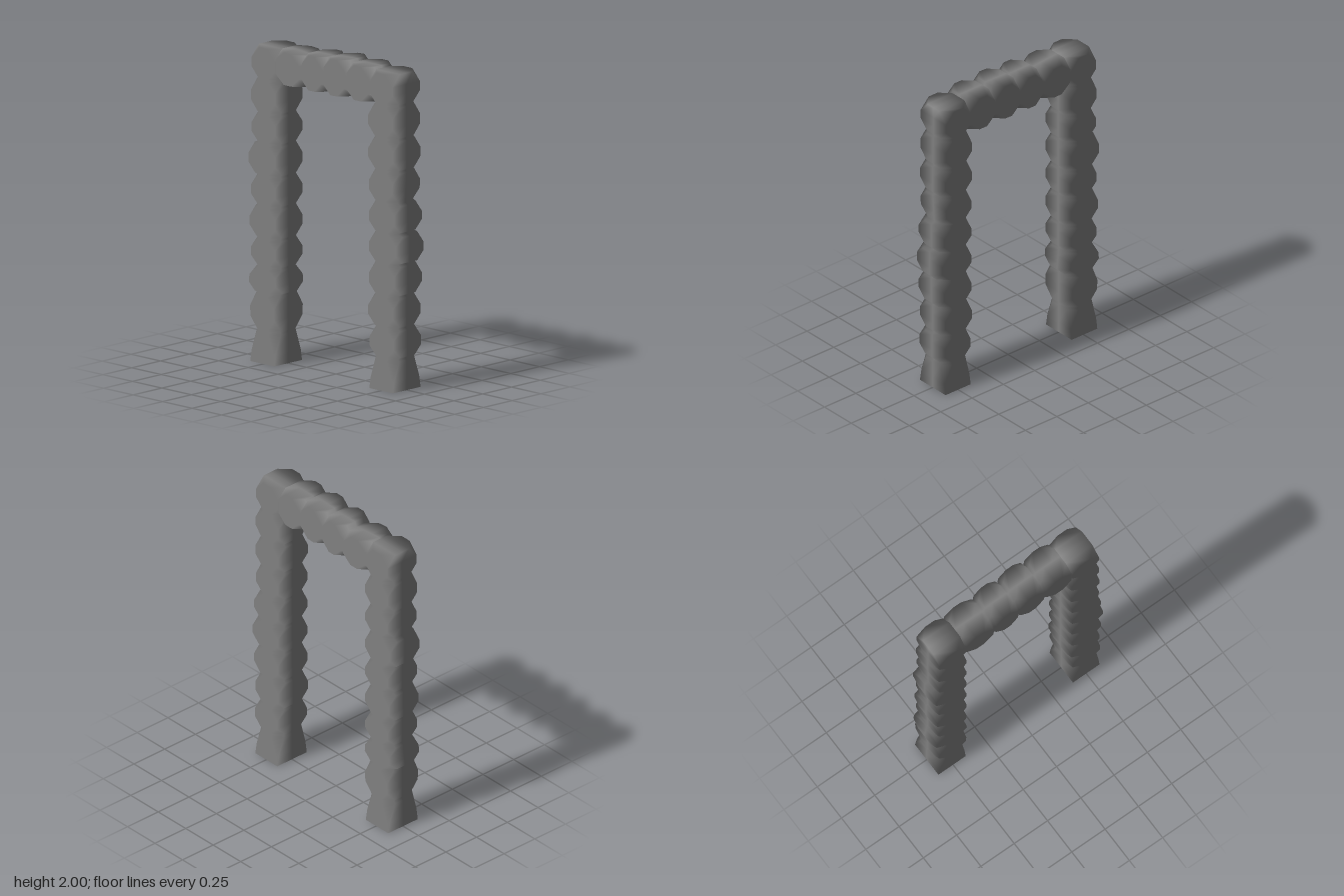
import * as THREE from 'three';

const material = new THREE.MeshStandardMaterial({ color: 0x808080, side: THREE.DoubleSide });
const CUT = 0.055;   // how far block corners are cut off at a joint
const LIP = 0.013;   // height of the small notch at a joint
const DEPTH = 0.12;  // half thickness of the frame
const SIDES = 10;    // points per ring
const CORNERS = [2, 4, 7, 9]; // ring segments that cross a cut corner

// Skin through rings (a rectangle with cut corners and a point midway on each side).
// ring: { t, a0, a1, b, c } = place along axis, extents across, half depth, corner cut
// Normals are flat on front and back and turn smoothly around the sides.
function loft(rings, alongX, cap) {
  const pos = [], normal = [], index = [];
  const put = (list, t, a, b) => (alongX ? list.push(t, a, b) : list.push(a, t, b));
  const tri = (i, j, k) => (alongX ? index.push(i, k, j) : index.push(i, j, k));
  rings.forEach(({ t, a0, a1, b, c }, r) => {
    const capped = cap && r === rings.length - 1;
    [[a1, -b + c], [a1, 0], [a1, b - c], [a1 - c, b], [a0 + c, b],
      [a0, b - c], [a0, 0], [a0, -b + c], [a0 + c, -b], [a1 - c, -b]].forEach(([x, z]) => {
      const s = z / b, side = 1 - Math.abs(s), up = capped ? side : 0;
      const len = Math.hypot(side, up, s);
      put(pos, t, x, z);
      put(normal, up / len, Math.sign(x - (a0 + a1) / 2) * side / len, s / len);
    });
  });
  for (let r = 0; r < rings.length - 1; r++) {
    for (let i = 0; i < SIDES; i++) {
      const j = (i + 1) % SIDES, l = r * SIDES, u = l + SIDES;
      const corner = CORNERS.includes(i);
      if (rings[r].c > 0 || !corner) tri(l + i, u + i, l + j);
      if (rings[r + 1].c > 0 || !corner) tri(l + j, u + i, u + j);
    }
  }
  // Cap in strips from back to front
  if (cap) {
    const l = (rings.length - 1) * SIDES;
    const pairs = [[9, 8], [0, 7], [1, 6], [2, 5], [3, 4]];
    for (let n = 0; n < 4; n++) {
      const [p, q] = pairs[n], [v, w] = pairs[n + 1];
      tri(l + p, l + q, l + v);
      tri(l + q, l + w, l + v);
    }
  }
  const g = new THREE.BufferGeometry();
  g.setAttribute('position', new THREE.Float32BufferAttribute(pos, 3));
  g.setAttribute('normal', new THREE.Float32BufferAttribute(normal, 3));
  g.setIndex(index);
  return g;
}

// Row of blocks. Each: [end, a0, a1, a0 at end, a1 at end, half depth at end]
function row(name, start, joint, blocks, { alongX = false, foot = false, cap = false } = {}) {
  const group = new THREE.Group();
  group.name = name;
  let t0 = start;
  blocks.forEach(([t1, a0, a1, e0 = a0, e1 = a1, eb = DEPTH], n) => {
    const h = t1 - t0, first = foot && n === 0, last = cap && n === blocks.length - 1;
    const seam = t => ({ t, a0: joint[0], a1: joint[1], b: DEPTH - 0.011, c: CUT - 0.008 });
    const at = (f, c) => ({
      t: t0 + f * h, c,
      a0: a0 + (e0 - a0) * f, a1: a1 + (e1 - a1) * f, b: DEPTH + (eb - DEPTH) * f,
    });
    const k = LIP / h;
    const rings = first ? [at(0, 0), at(0.35, 0.012)] : [seam(t0), at(k, CUT), at(0.36, 0), at(0.64, 0)];
    if (last) rings.push(at(1, CUT + 0.01));
    else rings.push(at(1 - k, CUT), seam(t1));
    const mesh = new THREE.Mesh(loft(rings, alongX, last), material);
    mesh.name = last ? 'cornerBlock' : alongX ? 'lintelBlock' : 'pillarBlock';
    group.add(mesh);
    t0 = t1;
  });
  return group;
}

export function createModel() {
  const model = new THREE.Group();
  model.name = 'blockArch';

  // Right pillar with its corner block
  model.add(row('rightPillar', 0, [-0.595, -0.41], [
    [0.2, -0.61, -0.405],
    [0.435, -0.605, -0.405, -0.605, -0.405, 0.13],
    [0.6, -0.63, -0.39, -0.61, -0.405],
    [0.78, -0.605, -0.4],
    [0.98, -0.615, -0.4],
    [1.17, -0.605, -0.4],
    [1.37, -0.625, -0.4],
    [1.56, -0.6, -0.4],
    [1.77, -0.605, -0.4],
    [1.97, -0.6, -0.4],
  ], { foot: true, cap: true }));

  // Left pillar with its corner block
  model.add(row('leftPillar', 0, [0.405, 0.587], [
    [0.2, 0.4, 0.6],
    [0.39, 0.4, 0.605],
    [0.59, 0.39, 0.6],
    [0.79, 0.395, 0.61],
    [0.98, 0.395, 0.625],
    [1.17, 0.395, 0.61],
    [1.37, 0.395, 0.588, 0.395, 0.6],
    [1.57, 0.39, 0.6],
    [1.78, 0.39, 0.597],
    [1.977, 0.395, 0.595],
  ], { foot: true, cap: true }));

  // Lintel between the corner blocks
  model.add(row('lintel', -0.405, [1.78, 1.955], [
    [-0.185, 1.77, 1.978, 1.768, 1.96],
    [0, 1.77, 1.985],
    [0.195, 1.768, 1.993, 1.775, 2],
    [0.4, 1.775, 1.99],
  ], { alongX: true }));

  return model;
}
